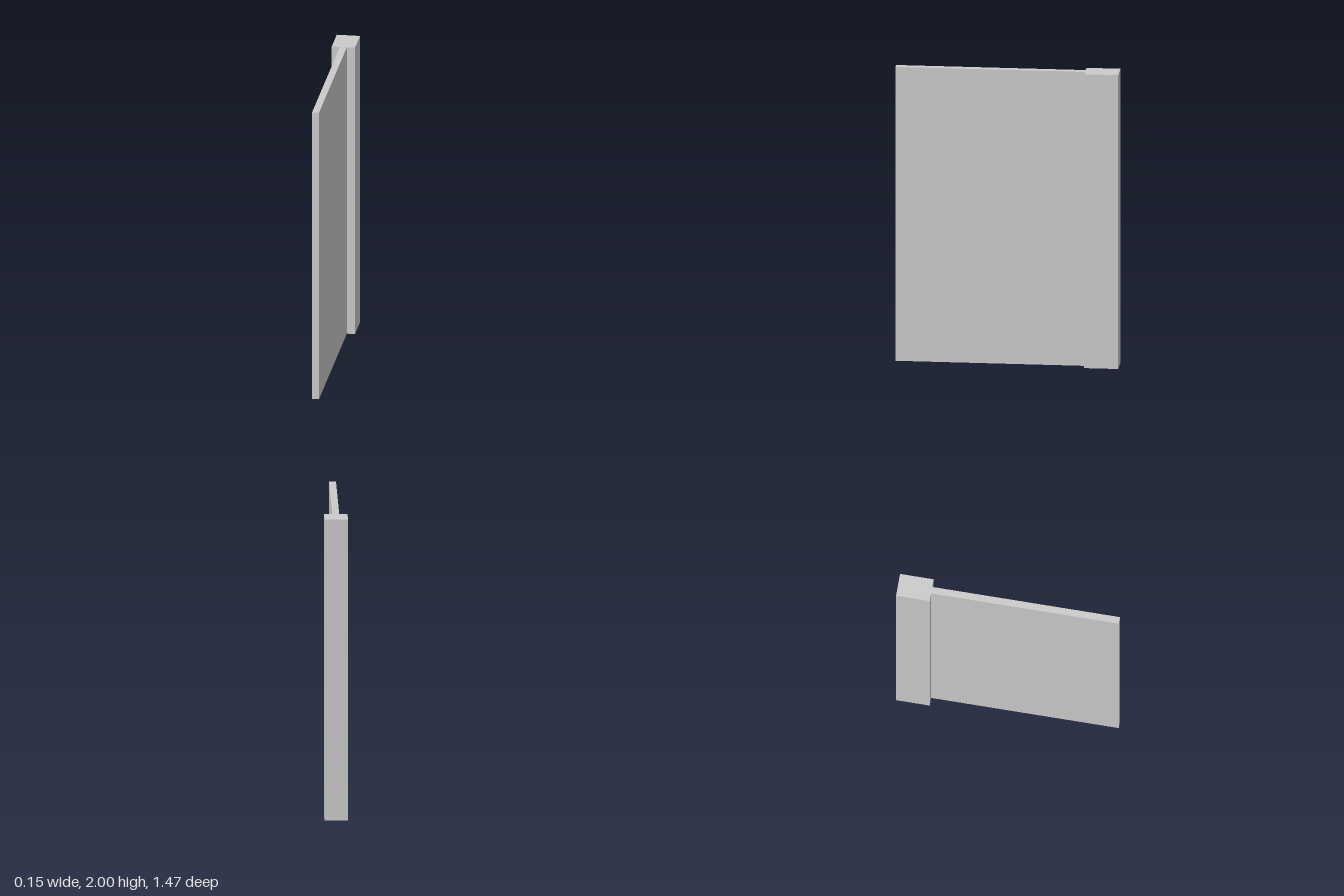
import * as THREE from 'three';

const HEIGHT = 2;
const BACK = -0.735, JOINT = -0.511, FRONT = 0.735;

export function createModel() {
  const group = new THREE.Group();
  group.name = 'wallWithPost';
  const material = new THREE.MeshStandardMaterial({ color: 0xcccccc, flatShading: true });

  // Full-height block spanning z0..z1, centred on x
  function addBlock(name, width, z0, z1) {
    const mesh = new THREE.Mesh(new THREE.BoxGeometry(width, HEIGHT, z1 - z0), material);
    mesh.position.set(0, HEIGHT / 2, (z0 + z1) / 2);
    mesh.name = name;
    group.add(mesh);
  }

  // Thick post at the back edge
  addBlock('post', 0.154, BACK, JOINT);
  // Thin panel running forward from the post
  addBlock('panel', 0.046, JOINT, FRONT);

  return group;
}
